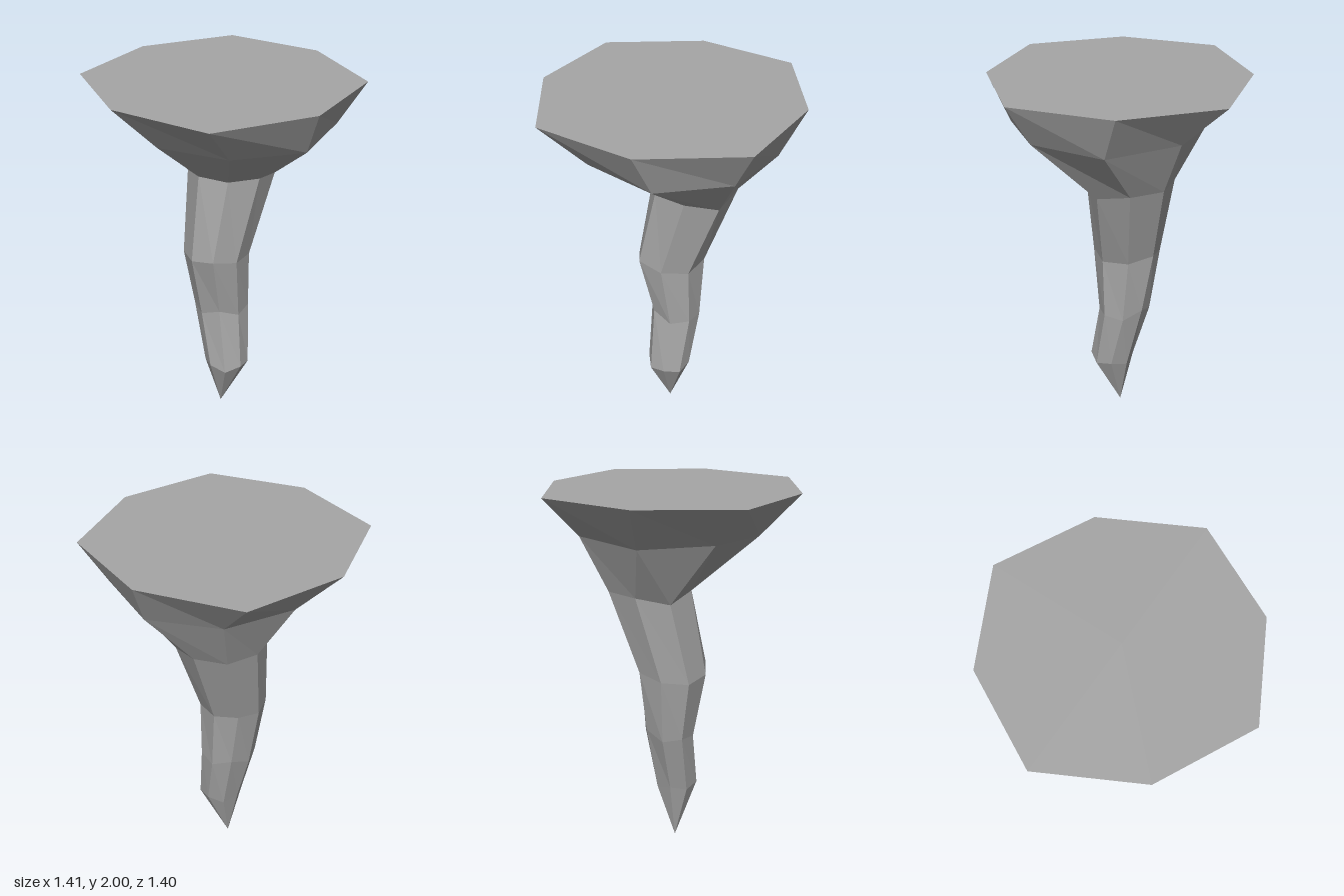
import * as THREE from 'three';

const SIDES = 8;
// Rings from top to tip: centre x, z; radius x, z; corner factor; heights at sides, corners, front/back
const RINGS = [
  { c: [0, 0], r: [0.703, 0.7], k: 0.66, y: [2, 2, 2] },
  { c: [0.07, 0], r: [0.5, 0.49], k: 0.7, y: [1.785, 1.77, 1.785] },
  { c: [0.037, -0.118], r: [0.23, 0.235], k: 0.68, y: [1.447, 1.485, 1.492] },
  { c: [-0.035, -0.02], r: [0.178, 0.2], k: 0.67, y: [1.005, 1.02, 1.05] },
  { c: [-0.008, -0.03], r: [0.15, 0.138], k: 0.68, y: [0.67, 0.655, 0.7] },
  { c: [0.027, 0.034], r: [0.122, 0.12], k: 0.7, y: [0.32, 0.337, 0.315] },
];
const TIP = [-0.01, 0, 0.005];

// Corner i of a ring, starting at +x and turning towards +z
function corner({ c, r, k, y }, i) {
  const a = (i * Math.PI * 2) / SIDES;
  const onCorner = i % 2 === 1;
  const s = onCorner ? k / Math.SQRT1_2 : 1;
  const h = onCorner ? y[1] : i % 4 === 0 ? y[0] : y[2];
  return [c[0] + r[0] * s * Math.cos(a), h, c[1] + r[1] * s * Math.sin(a)];
}

function faceted(triangles) {
  const g = new THREE.BufferGeometry();
  g.setAttribute('position', new THREE.Float32BufferAttribute(triangles.flat(), 3));
  g.computeVertexNormals();
  return g;
}

export function createModel() {
  const group = new THREE.Group();
  group.name = 'stalactite';
  const stone = new THREE.MeshStandardMaterial({ color: 0xa6a6a6, flatShading: true });
  stone.name = 'grey stone';

  const add = (name, triangles) => {
    const mesh = new THREE.Mesh(faceted(triangles), stone);
    mesh.name = name;
    group.add(mesh);
  };

  const cap = [], flare = [], shaft = [], tip = [];
  for (let i = 0; i < SIDES; i++) {
    const j = (i + 1) % SIDES;
    // Flat ceiling face
    cap.push([0, 2, 0], corner(RINGS[0], j), corner(RINGS[0], i));
    // Bands between neighbouring rings
    for (let n = 0; n < RINGS.length - 1; n++) {
      const a = corner(RINGS[n], i), b = corner(RINGS[n], j);
      const c = corner(RINGS[n + 1], i), d = corner(RINGS[n + 1], j);
      (n < 2 ? flare : shaft).push(a, b, c, b, d, c);
    }
    // Pointed end
    const last = RINGS[RINGS.length - 1];
    tip.push(corner(last, i), corner(last, j), TIP);
  }
  add('topFace', cap);
  add('flaredBase', flare);
  add('shaft', shaft);
  add('tip', tip);
  return group;
}
